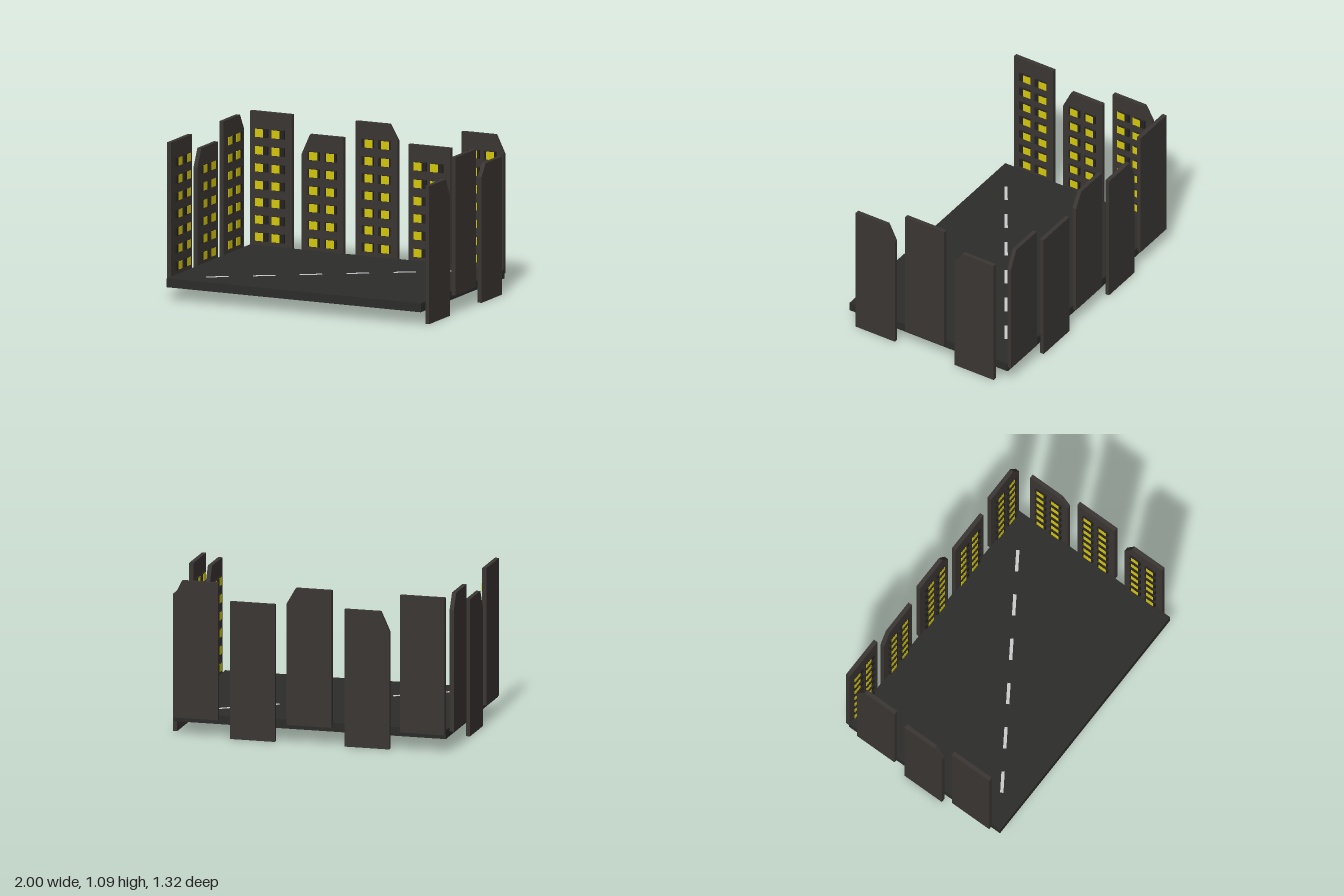
import * as THREE from 'three';

const mat = (color) => new THREE.MeshStandardMaterial({ color, flatShading: true });
const wallMat = mat(0x3a3633);
const frameMat = mat(0x252322);
const lightMat = mat(0xd6c80c);
const roadMat = mat(0x2c2c2a);
const paintMat = mat(0xcccccc);

const WIDTH = 0.32, HEIGHT = 0.965, DEPTH = 0.03;
const frameGeo = new THREE.BoxGeometry(0.088, 0.06, 0.016);
const paneGeo = new THREE.BoxGeometry(0.061, 0.057, 0.004);

function add(parent, geometry, material, name, x, y, z) {
  const mesh = new THREE.Mesh(geometry, material);
  mesh.name = name;
  mesh.position.set(x, y, z);
  parent.add(mesh);
  return mesh;
}

// Flat tower front facing +z; cut: -1 / 0 / 1 = sloped corner on local left / none / right
function makeTower(cut, cutDrop, paneShift) {
  const tower = new THREE.Group();
  const w = WIDTH / 2, run = 0.063;
  const points = [[-w, 0], [w, 0]];
  if (cut > 0) points.push([w, HEIGHT - cutDrop], [w - run, HEIGHT]);
  else points.push([w, HEIGHT]);
  if (cut < 0) points.push([-w + run, HEIGHT], [-w, HEIGHT - cutDrop]);
  else points.push([-w, HEIGHT]);
  const shape = new THREE.Shape(points.map(([x, y]) => new THREE.Vector2(x, y)));
  const slab = new THREE.ExtrudeGeometry(shape, { depth: DEPTH, bevelEnabled: false });
  add(tower, slab, wallMat, 'towerWall', 0, 0, -DEPTH);

  // Two columns of seven lit windows
  for (let row = 0; row < 7; row++) {
    const y = 0.092 + row * 0.121;
    for (const side of [-1, 1]) {
      const x = side * 0.064;
      add(tower, frameGeo, frameMat, 'windowFrame', x, y, 0.007);
      add(tower, paneGeo, lightMat, 'windowPane', x + paneShift, y, 0.014);
    }
  }
  return tower;
}

export function createModel() {
  const model = new THREE.Group();
  model.name = 'cityStreetStage';

  // Ground slab
  add(model, new THREE.BoxGeometry(1.94, 0.062, 1.294), roadMat, 'groundSlab', 0, 0.124, 0.013);

  // Diagonal dashed line
  const dashGeo = new THREE.BoxGeometry(0.155, 0.003, 0.023);
  for (let i = 0; i < 6; i++) {
    const dash = add(model, dashGeo, paintMat, 'roadDash', -0.68 + i * 0.27, 0.156, 0.463 - i * 0.1775);
    dash.rotation.y = 0.585;
  }

  // Towers: [position along the edge, raised, cut side, cut drop, pane shift]
  const rows = {
    back: [
      [-0.81, true, 0, 0, -0.02],
      [-0.415, false, -1, 0.14, 0],
      [-0.005, true, 1, 0.11, 0.01],
      [0.4, false, 0, 0, -0.02],
      [0.805, true, 1, 0.13, 0],
    ],
    right: [
      [0.43, true, 0, 0, 0.02],
      [0.025, false, -1, 0.13, 0],
      [-0.38, true, 1, 0.11, -0.02],
    ],
    left: [
      [0.43, false, -1, 0.125, 0],
      [0.025, true, 0, 0, 0],
      [-0.38, false, 1, 0.085, 0],
    ],
  };
  for (const [edge, towers] of Object.entries(rows)) {
    towers.forEach(([along, raised, cut, drop, shift], i) => {
      const tower = makeTower(cut, drop, shift);
      tower.name = `${edge}Tower${i + 1}`;
      const y = raised ? 0.125 : 0;
      if (edge === 'back') {
        tower.position.set(along, y, -0.63);
      } else {
        const side = edge === 'left' ? 1 : -1;
        tower.position.set(side * 0.97, y, along);
        tower.rotation.y = -side * Math.PI / 2;
      }
      model.add(tower);
    });
  }
  return model;
}
